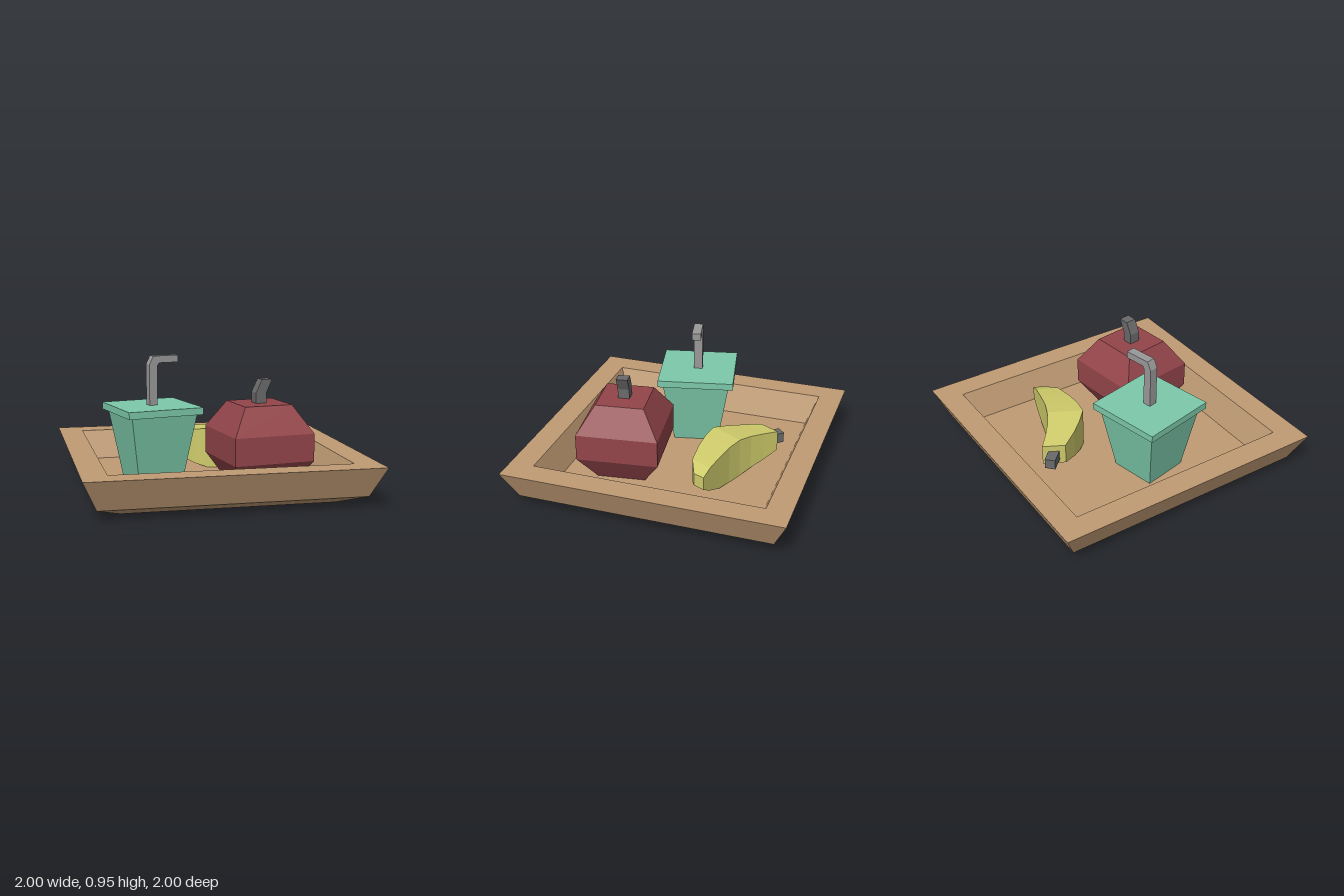
import * as THREE from 'three';

const material = (color) =>
  new THREE.MeshStandardMaterial({ color, flatShading: true });

// Flat-shaded loft through rings of four corners, capped at both ends
function loft(rings) {
  const pos = [];
  const quad = (a, b, c, d) => pos.push(...a, ...b, ...c, ...a, ...c, ...d);
  for (let r = 0; r < rings.length - 1; r++) {
    const a = rings[r], b = rings[r + 1];
    for (let i = 0; i < 4; i++) {
      const j = (i + 1) % 4;
      quad(a[i], a[j], b[j], b[i]);
    }
  }
  const [p, q, s, t] = rings[0];
  quad(t, s, q, p);
  quad(...rings[rings.length - 1]);
  const geo = new THREE.BufferGeometry();
  geo.setAttribute('position', new THREE.Float32BufferAttribute(pos, 3));
  geo.computeVertexNormals();
  return geo;
}

// Stack of squares given as [half width, height]
const squareLoft = (profile) =>
  loft(profile.map(([h, y]) => [[-h, y, h], [h, y, h], [h, y, -h], [-h, y, -h]]));

// Side outline extruded to a strip centred on z = 0
function strip(points, depth) {
  const shape = new THREE.Shape(points.map(([x, y]) => new THREE.Vector2(x, y)));
  return new THREE.ExtrudeGeometry(shape, { depth, bevelEnabled: false })
    .translate(0, 0, -depth / 2);
}

function add(parent, name, geometry, mat) {
  const mesh = new THREE.Mesh(geometry, mat);
  mesh.name = name;
  parent.add(mesh);
  return mesh;
}

function addGroup(parent, name, x, z, turn) {
  const group = new THREE.Group();
  group.name = name;
  group.position.set(x, 0, z);
  group.rotation.y = turn;
  parent.add(group);
  return group;
}

export function createModel() {
  const model = new THREE.Group();
  model.name = 'lunchTray';
  const wood = material(0xc09b74);
  const green = material(0x7cc8aa);
  const red = material(0x93454a);
  const yellow = material(0xd0cd6c);
  const grey = material(0x999999);
  const darkGrey = material(0x6a6a6a);
  const floor = 0.07;

  // Tray: outside, rim, inner wall and floor in one profile
  add(model, 'tray', squareLoft([
    [0.735, 0], [0.905, 0.07], [1, 0.28], [0.825, 0.28], [0.745, floor],
  ]), wood);

  // Drink with lid and bent straw
  const drink = addGroup(model, 'drink', -0.407, 0.03, 0.219);
  add(drink, 'cup', squareLoft([[0.165, floor], [0.243, 0.55]]), green);
  add(drink, 'lid', squareLoft([[0.277, 0.55], [0.277, 0.6]]), green);
  add(drink, 'straw', strip([
    [-0.03, 0.59], [0.03, 0.59], [0.03, 0.88], [0.045, 0.9],
    [0.19, 0.9], [0.19, 0.95], [0, 0.95], [-0.03, 0.89],
  ], 0.065), grey);

  // Apple with leaning stem
  const apple = addGroup(model, 'apple', 0.293, 0.348, 0.138);
  add(apple, 'appleBody', squareLoft([
    [0.172, floor], [0.29, 0.26], [0.29, 0.45], [0.172, 0.64],
  ]), red);
  add(apple, 'appleStem', strip([
    [-0.038, 0.63], [0.038, 0.63], [0.038, 0.71],
    [0.082, 0.805], [0.006, 0.805], [-0.038, 0.715],
  ], 0.082), darkGrey);

  // Banana stations: inner x, z, outer x, z, bottom, top
  const banana = addGroup(model, 'banana', 0, 0, 0);
  const stations = [
    [-0.11, -0.67, -0.185, -0.525, 0.17, 0.32],
    [-0.02, -0.59, -0.10, -0.40, 0.12, 0.335],
    [0.07, -0.52, -0.03, -0.315, 0.09, 0.35],
    [0.17, -0.465, 0.05, -0.235, 0.07, 0.365],
    [0.28, -0.42, 0.16, -0.21, 0.07, 0.355],
    [0.41, -0.385, 0.30, -0.20, 0.09, 0.34],
    [0.53, -0.355, 0.455, -0.205, 0.14, 0.32],
    [0.61, -0.335, 0.575, -0.255, 0.19, 0.285],
  ];
  add(banana, 'bananaBody', loft(stations.map(([ix, iz, ox, oz, lo, hi]) =>
    [[ox, lo, oz], [ix, lo, iz], [ix, hi, iz], [ox, hi, oz]])), yellow);
  const stem = add(banana, 'bananaStem',
    new THREE.BoxGeometry(0.16, 0.075, 0.074), darkGrey);
  stem.position.set(-0.162, 0.235, -0.614);
  stem.rotation.y = -0.81;

  return model;
}
